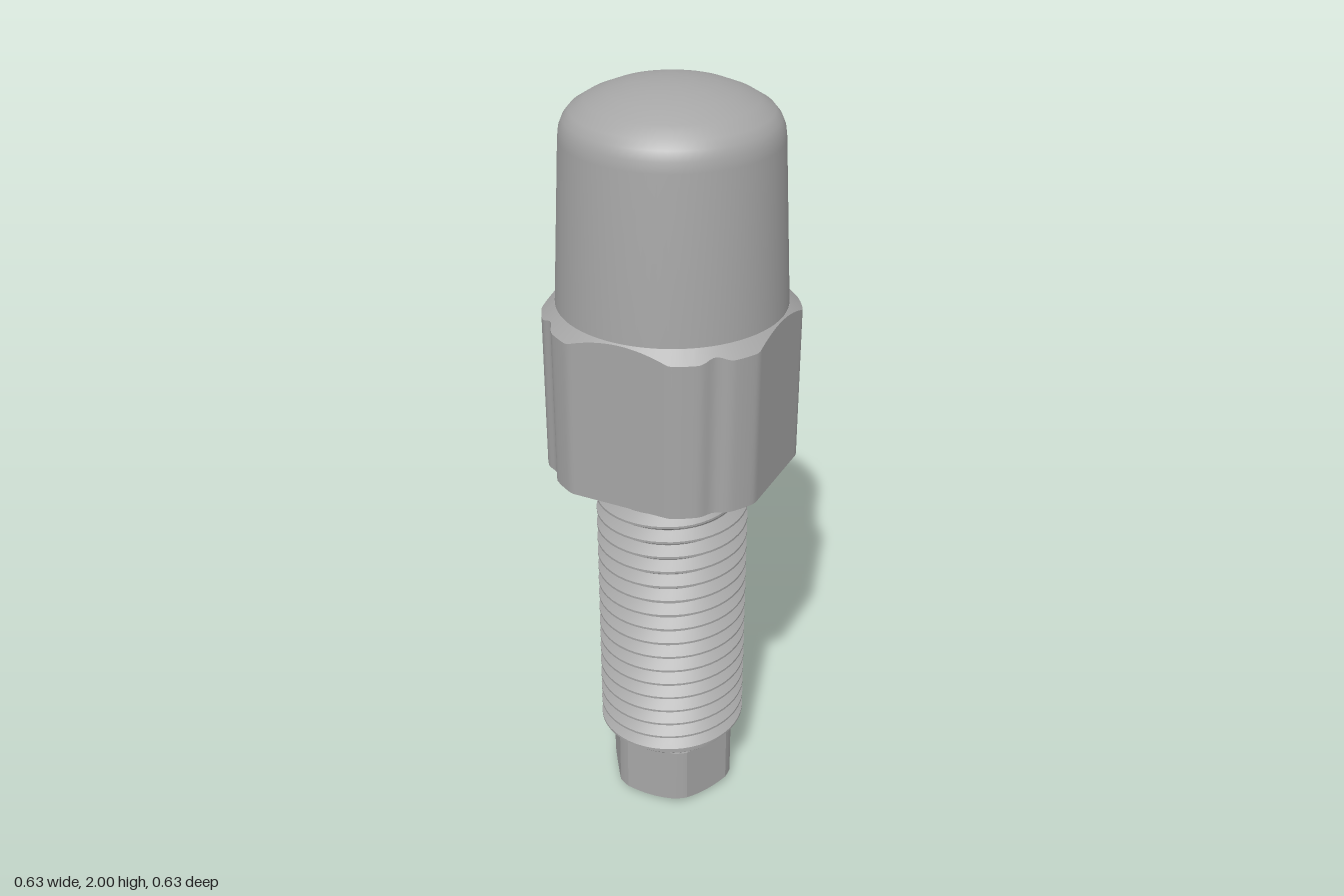
import * as THREE from 'three';
import { toCreasedNormals } from 'three/addons/utils/BufferGeometryUtils.js';

const TAU = Math.PI * 2;
const rad = THREE.MathUtils.degToRad;

// Skins a list of rows around y; each row maps an angle to [radius, height].
// Rows run from the underside outward, up, and back in over the top.
function loft(rows, segments, turns = 1, crease = 0.33) {
  const pos = [], index = [], n = segments * turns + 1;
  for (const row of rows) {
    for (let i = 0; i < n; i++) {
      const a = (i / segments) * TAU;
      const [r, y] = row(a);
      pos.push(r * Math.cos(a), y, r * Math.sin(a));
    }
  }
  for (let k = 0; k < rows.length - 1; k++) {
    for (let i = 0; i < n - 1; i++) {
      const p = k * n + i, q = p + n;
      index.push(p, q, p + 1, p + 1, q, q + 1);
    }
  }
  const g = new THREE.BufferGeometry();
  g.setAttribute('position', new THREE.Float32BufferAttribute(pos, 3));
  g.setIndex(index);
  return toCreasedNormals(g, crease);
}

const ring = (r, y) => () => [r, y];

// Radius of a polygon whose corners are cut by a circle
function polygonRadius(a, sides, apothem, corner, turn) {
  const step = TAU / sides;
  let d = (a - turn) % step;
  if (d < 0) d += step;
  if (d > step / 2) d -= step;
  return Math.min(apothem / Math.cos(d), corner);
}

// Square nut outline with a shallow groove down each rounded corner
function nutRadius(a) {
  const r = polygonRadius(a, 4, 0.287, 0.316, rad(34));
  const q = Math.PI / 2;
  const d = ((((a - rad(34)) % q) + q) % q) - q / 2;
  const w = rad(8);
  return Math.abs(d) < w ? r - 0.006 * (1 + Math.cos((Math.PI * d) / w)) : r;
}

const tipRadius = (a) => polygonRadius(a, 6, 0.156, 0.171, 0);

export function createModel() {
  const model = new THREE.Group();
  const steel = new THREE.MeshStandardMaterial({ color: 0xa6a6a6 });
  steel.name = 'grey steel';
  const add = (name, geometry) => {
    const mesh = new THREE.Mesh(geometry, steel);
    mesh.name = name;
    model.add(mesh);
  };

  // Tapered cap with a rounded shoulder and low dome
  const cap = [
    [0.283, 1.46], [0.262, 1.87], [0.259, 1.895], [0.25, 1.917], [0.235, 1.935],
    [0.2, 1.957], [0.15, 1.978], [0.1, 1.991], [0.05, 1.998], [0, 2],
  ];
  add('domedCap', loft(cap.map(([r, y]) => ring(r, y)), 72, 1, 0.6));

  // Nut with chamfered top corners and a recess underneath
  add('nut', loft([
    ring(0.16, 1.05), ring(0.21, 1.05), ring(0.21, 1.085), ring(0.26, 1.085), ring(0.26, 1.035),
    (a) => [nutRadius(a), 1.035],
    (a) => [nutRadius(a), 1.467 - (nutRadius(a) - 0.283) * 0.87],
    ring(0.283, 1.467), ring(0.25, 1.467),
  ], 180));

  // Plain shank and neck
  add('shank', loft([ring(0.1, 0.18), ring(0.165, 0.18), ring(0.171, 0.186), ring(0.171, 1.06)], 60));

  // Right-hand thread, fading out at both ends
  const turns = 17, top = 0.945, pitch = 0.0447;
  const center = (a) => top - (pitch * a) / TAU;
  const crest = (a) => 0.17 + 0.027 * Math.min(1, a / 1.5, (turns * TAU - a) / 3);
  add('thread', loft([
    (a) => [0.17, center(a) - pitch / 2],
    (a) => [crest(a), center(a) - 0.003],
    (a) => [crest(a), center(a) + 0.003],
    (a) => [0.17, center(a) + pitch / 2],
  ], 48, turns));

  // Hexagonal tip with chamfered foot and a round socket
  add('hexTip', loft([
    ring(0, 0.08), ring(0.05, 0.07), ring(0.075, 0.045), ring(0.085, 0), ring(0.14, 0),
    (a) => [tipRadius(a), (tipRadius(a) - 0.14) * 0.6],
    (a) => [tipRadius(a), 0.181],
    ring(0.1, 0.181),
  ], 180));

  return model;
}
